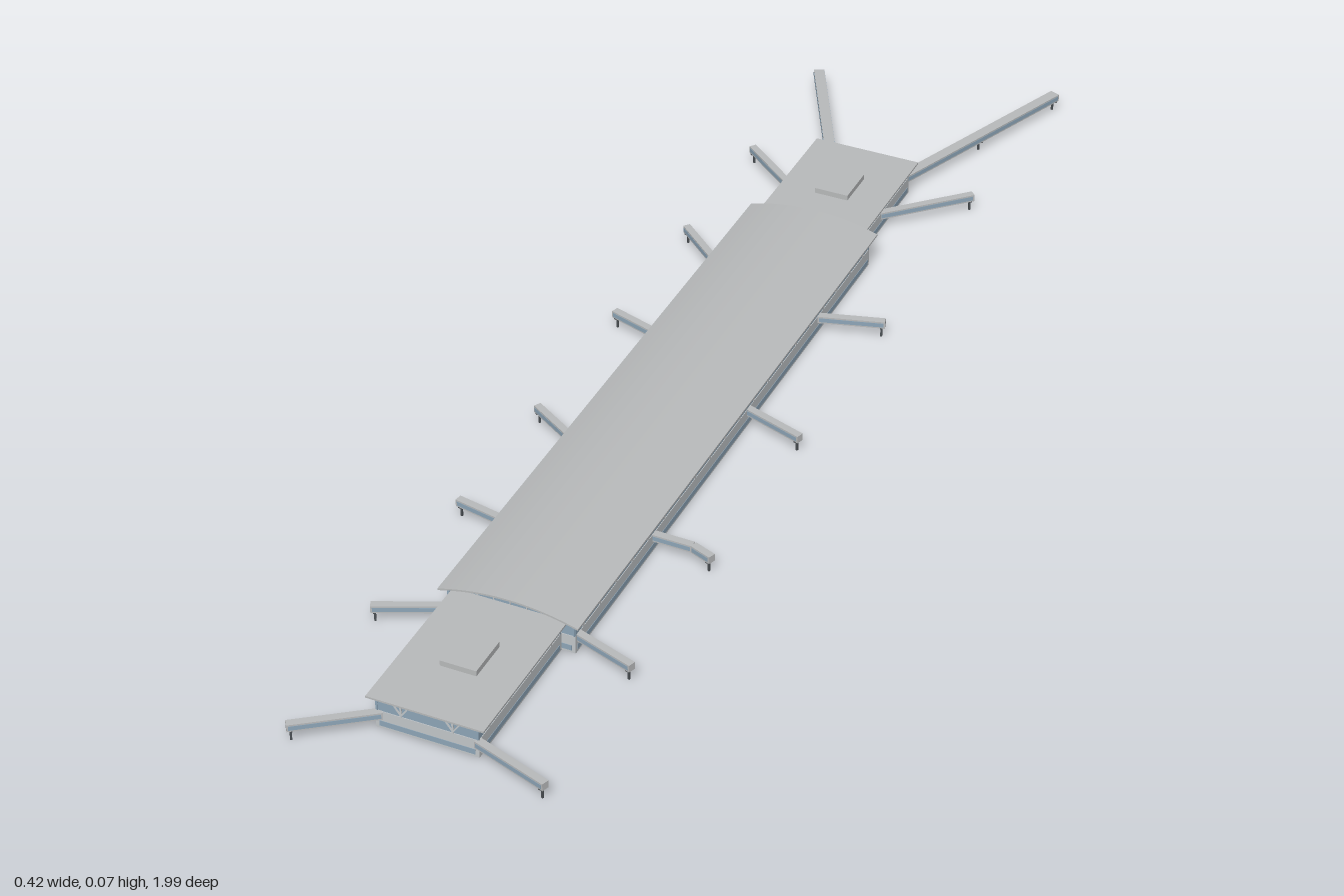
import * as THREE from 'three';
import { mergeGeometries } from 'three/addons/utils/BufferGeometryUtils.js';

const mat = (name, color) => Object.assign(new THREE.MeshStandardMaterial({ color }), { name });
const ROOF = mat('roof grey', 0xb9bbbc);
const WALL = mat('wall pale grey', 0xc3c7ca);
const GLASS = mat('glass blue', 0x8ea6b8);
const DARK = mat('dark metal', 0x4b5054);

function box(parent, name, material, size, pos) {
  const m = new THREE.Mesh(new THREE.BoxGeometry(...size), material);
  m.name = name;
  m.position.set(...pos);
  parent.add(m);
  return m;
}

// Y-shaped facade column: a short stem and two slanted arms
function columnGeometry() {
  const parts = [new THREE.BoxGeometry(0.003, 0.02, 0.002).translate(0, 0.04, 0)];
  for (const s of [-1, 1]) {
    parts.push(new THREE.BoxGeometry(0.0022, 0.02, 0.002)
      .rotateZ(-s * 0.6).translate(s * 0.0065, 0.0415, 0));
  }
  return mergeGeometries(parts);
}
const COLUMN = columnGeometry();

// Wall from a to b (x, z); the outside is local +z
function facade(parent, name, a, b) {
  const g = new THREE.Group();
  g.name = name;
  const dx = b[0] - a[0], dz = b[1] - a[1], len = Math.hypot(dx, dz);
  g.position.set((a[0] + b[0]) / 2, 0, (a[1] + b[1]) / 2);
  g.rotation.y = Math.atan2(-dz, dx);
  box(g, 'baseWall', WALL, [len, 0.03, 0.004], [0, 0.015, -0.002]);
  box(g, 'upperGlazing', GLASS, [len, 0.023, 0.003], [0, 0.0415, -0.0025]);
  box(g, 'lowWindowStrip', GLASS, [len - 0.012, 0.009, 0.001], [0, 0.0085, 0.0002]);
  box(g, 'glazingRail', WALL, [len, 0.0015, 0.002], [0, 0.051, -0.0006]);
  const n = Math.max(1, Math.floor(len / 0.054));
  for (let i = 0; i < n; i++) {
    const c = new THREE.Mesh(COLUMN, WALL);
    c.name = 'facadeColumn';
    c.position.set((i - (n - 1) / 2) * (len / n), 0, -0.0004);
    g.add(c);
  }
  parent.add(g);
}

// Four walls, open below
function walls(parent, name, x0, x1, z0, z1) {
  facade(parent, name + 'FrontWall', [x0, z1], [x1, z1]);
  facade(parent, name + 'LeftWall', [x1, z1], [x1, z0]);
  facade(parent, name + 'BackWall', [x1, z0], [x0, z0]);
  facade(parent, name + 'RightWall', [x0, z0], [x0, z1]);
}

// Shallow arch through the eaves and crown
const CX = -0.0095, HALF = 0.111, RISE = 0.017;
const R = (HALF * HALF + RISE * RISE) / (2 * RISE);
const archY = (x) => 0.0515 + RISE - R + Math.sqrt(R * R - (x - CX) ** 2);
function archShape(half, lower, upper) {
  const top = [], bottom = [];
  for (let i = 0; i <= 24; i++) {
    const x = CX - half + (2 * half * i) / 24;
    top.push(new THREE.Vector2(x, upper(x)));
    bottom.push(new THREE.Vector2(x, lower(x)));
  }
  return new THREE.Shape([...bottom, ...top.reverse()]);
}
function extruded(parent, name, material, shape, depth, z) {
  const m = new THREE.Mesh(
    new THREE.ExtrudeGeometry(shape, { depth, bevelEnabled: false }), material);
  m.name = name;
  m.position.z = z;
  parent.add(m);
}

// Boarding bridge following a path of (x, z) points, with a leg near the end
function bridge(parent, path, w) {
  const g = new THREE.Group();
  g.name = 'boardingBridge';
  path.slice(1).forEach((b, i) => {
    const a = path[i], dx = b[0] - a[0], dz = b[1] - a[1], len = Math.hypot(dx, dz);
    const s = new THREE.Group();
    s.name = 'bridgeSection';
    s.position.set((a[0] + b[0]) / 2, 0, (a[1] + b[1]) / 2);
    s.rotation.y = Math.atan2(-dz, dx);
    box(s, 'bridgeBody', ROOF, [len, 0.012, w], [0, 0.0245, 0]);
    for (const side of [-1, 1]) {
      box(s, 'bridgeWindow', GLASS, [len - 0.005, 0.007, 0.001], [0, 0.0245, side * w / 2]);
    }
    const legs = i === path.length - 2 ? [len / 2 - 0.006] : [];
    if (len > 0.25) legs.push(0);
    for (const x of legs) {
      box(s, 'bridgeLeg', DARK, [0.003, 0.019, 0.003], [x, 0.0095, 0]);
      box(s, 'bridgeLegBeam', DARK, [0.004, 0.002, w], [x, 0.018, 0]);
    }
    g.add(s);
  });
  parent.add(g);
}

export function createModel() {
  const model = new THREE.Group();
  model.name = 'terminalBuilding';

  // Central hall with arched roof
  const hall = new THREE.Group();
  hall.name = 'mainHall';
  walls(hall, 'hall', -0.111, 0.092, -0.42, 0.66);
  extruded(hall, 'archedRoof', ROOF,
    archShape(HALF, archY, (x) => archY(x) + 0.003), 1.1, -0.43);
  for (const [z, out] of [[0.656, 1], [-0.42, -1]]) {
    extruded(hall, 'gableGlass', GLASS, archShape(0.1, () => 0.051, archY), 0.004, z);
    for (let i = -3; i <= 3; i++) {
      const x = CX + i * 0.026, h = archY(x) - 0.052;
      box(hall, 'gableMullion', WALL, [0.002, h, 0.001],
        [x, 0.052 + h / 2, z + 0.002 + out * 0.0022]);
    }
  }
  model.add(hall);

  // Flat-roofed wings at both ends, each with a roof hatch
  for (const [name, z0, z1, r0, r1, hz] of [
    ['frontWing', 0.66, 0.914, 0.655, 0.92, 0.785],
    ['backWing', -0.645, -0.42, -0.657, -0.425, -0.537],
  ]) {
    const wing = new THREE.Group();
    wing.name = name;
    walls(wing, name, -0.09, 0.07, z0, z1);
    box(wing, 'flatRoof', ROOF, [0.182, 0.003, r1 - r0], [-0.01, 0.0535, (r0 + r1) / 2]);
    box(wing, 'roofHatch', ROOF, [0.057, 0.009, 0.07], [-0.0095, 0.0595, hz]);
    model.add(wing);
  }

  // Boarding bridges
  const paths = [
    [[-0.066, -0.64], [-0.2, -0.9]],
    [[0.056, -0.64], [0.198, -0.996]],
    [[-0.085, -0.533], [-0.205, -0.628]],
    [[0.065, -0.527], [0.185, -0.643]],
    [[-0.109, -0.28], [-0.205, -0.362]],
    [[-0.109, -0.064], [-0.207, -0.095]],
    [[-0.109, 0.242], [-0.205, 0.183]],
    [[-0.109, 0.46], [-0.207, 0.441]],
    [[-0.085, 0.66], [-0.206, 0.714]],
    [[-0.08, 0.912], [-0.188, 0.99]],
    [[0.09, -0.214], [0.193, -0.243]],
    [[0.09, 0.057], [0.191, 0.091]],
    [[0.09, 0.398], [0.155, 0.399], [0.191, 0.413]],
    [[0.085, 0.646], [0.19, 0.681]],
    [[0.066, 0.912], [0.19, 0.953]],
  ];
  paths.forEach((p, i) => bridge(model, p, i < 2 ? 0.018 : 0.012));
  return model;
}
